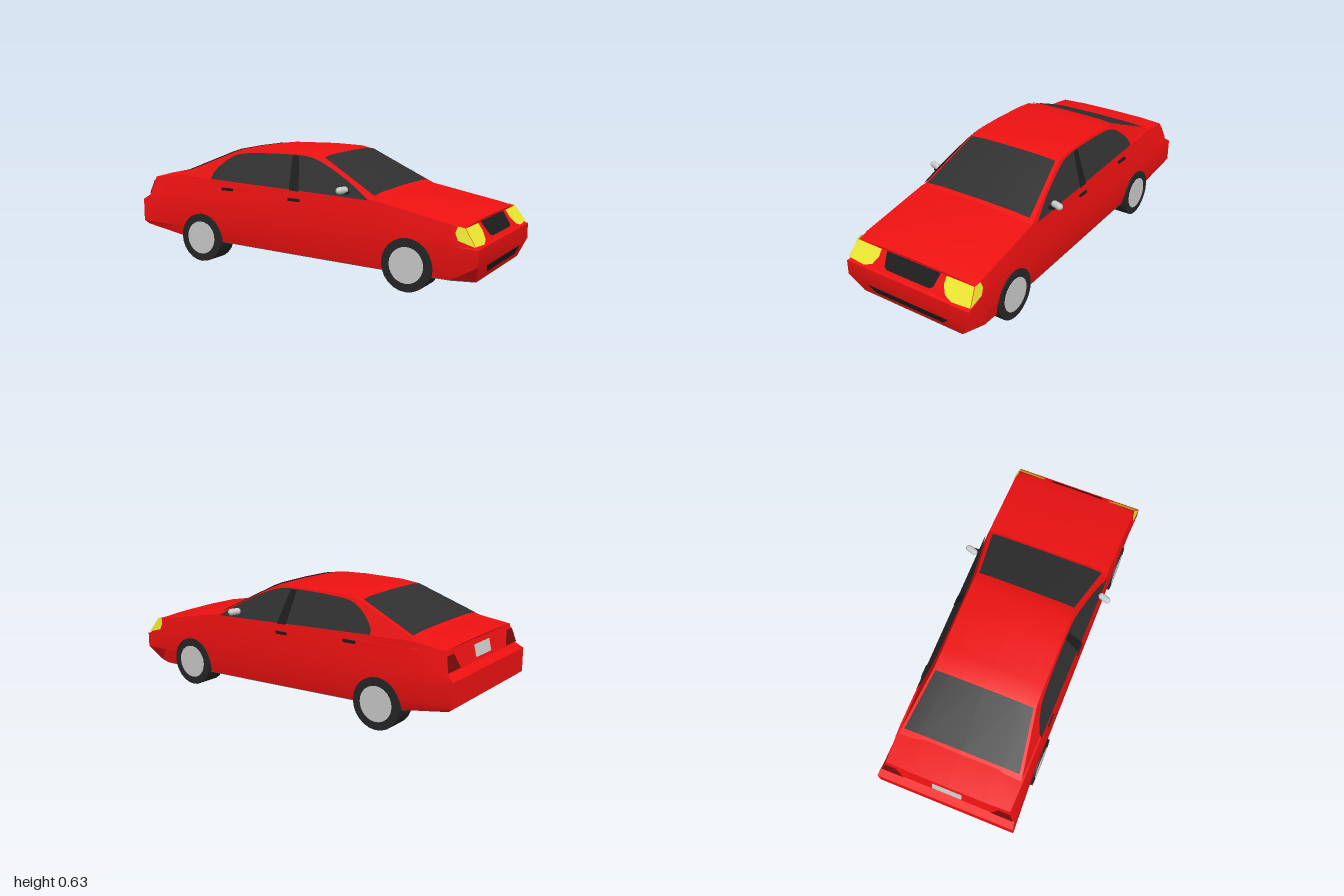
import * as THREE from 'three';
import { toCreasedNormals } from 'three/addons/utils/BufferGeometryUtils.js';

const paint = (color, side = THREE.FrontSide) => new THREE.MeshStandardMaterial({ color, side });
const RED = paint(0xee1111);
const GLASS = paint(0x303030, THREE.DoubleSide);
const BLACK = paint(0x1c1c1c, THREE.DoubleSide);
const FLOOR = paint(0x555555, THREE.DoubleSide);
const YELLOW = paint(0xeeea30, THREE.DoubleSide);
const TAIL = paint(0x7a0c0c, THREE.DoubleSide);
const TYRE = paint(0x262626);
const METAL = paint(0xcccccc, THREE.DoubleSide);

// Local frame: +x forward, +y up, +z the car's right side.
function geometry(points, index) {
  const g = new THREE.BufferGeometry();
  g.setAttribute('position', new THREE.Float32BufferAttribute(points.flat(), 3));
  g.setIndex(index);
  return toCreasedNormals(g, 0.5);
}

// Closed hull from lengthwise lines (bottom to centre), mirrored across z, with end caps
function hull(rows) {
  const n = rows[0].length, half = rows.length, ring = half * 2 - 1;
  const pts = [], idx = [];
  for (let i = 0; i < n; i++) {
    for (let j = 0; j < ring; j++) {
      const [x, y, z] = rows[Math.min(j, ring - 1 - j)][i];
      pts.push([x, y, j < half ? z : -z]);
    }
  }
  const quad = (a, b, c, d) => idx.push(a, b, c, a, c, d);
  for (let i = 0; i < n - 1; i++) {
    for (let j = 0; j < ring; j++) {
      const k = (j + 1) % ring;
      quad(i * ring + j, (i + 1) * ring + j, (i + 1) * ring + k, i * ring + k);
    }
  }
  const f = (n - 1) * ring;
  for (let j = 0; j < half - 1; j++) {
    const l = ring - 1 - j;
    quad(f + l, f + l - 1, f + j + 1, f + j);
    quad(j, j + 1, l - 1, l);
  }
  return geometry(pts, idx);
}

// Thin convex panel drawn as a fan
function panel(pts) {
  const idx = [];
  for (let i = 1; i < pts.length - 1; i++) idx.push(0, i, i + 1);
  return geometry(pts, idx);
}

const BODY = [
  [[-0.98, 0.17, 0.365], [-0.75, 0.128, 0.355], [0, 0.105, 0.355], [0.45, 0.092, 0.355], [0.86, 0.085, 0.355], [0.97, 0.08, 0.31]],
  [[-1.005, 0.19, 0.378], [-0.75, 0.18, 0.367], [0, 0.17, 0.367], [0.45, 0.165, 0.367], [0.86, 0.165, 0.37], [1, 0.165, 0.376]],
  [[-1.005, 0.315, 0.378], [-0.75, 0.29, 0.368], [0, 0.27, 0.368], [0.45, 0.26, 0.368], [0.86, 0.25, 0.37], [1, 0.245, 0.376]],
  [[-0.965, 0.34, 0.368], [-0.75, 0.36, 0.362], [0, 0.36, 0.362], [0.45, 0.35, 0.362], [0.86, 0.28, 0.368], [0.985, 0.25, 0.37]],
  [[-0.94, 0.442, 0.338], [-0.75, 0.465, 0.345], [0, 0.435, 0.352], [0.46, 0.425, 0.352], [0.86, 0.35, 0.36], [0.925, 0.335, 0.355]],
  [[-0.945, 0.448, 0.2], [-0.76, 0.478, 0.2], [0, 0.44, 0.2], [0.46, 0.437, 0.2], [0.86, 0.368, 0.2], [0.928, 0.345, 0.2]],
  [[-0.945, 0.45, 0], [-0.76, 0.48, 0], [0, 0.44, 0], [0.46, 0.44, 0], [0.86, 0.372, 0], [0.928, 0.348, 0]],
];

// Upper edge of the cabin: x, y, half width
const CABIN = [
  [-0.8, 0.455, 0.338], [-0.43, 0.605, 0.277], [-0.33, 0.617, 0.275], [-0.1, 0.622, 0.276],
  [0.06, 0.617, 0.277], [0.13, 0.6, 0.28], [0.465, 0.425, 0.344],
];
const CROWN = 0.012;
const crown = (f) => CROWN * (f > 0.7 ? (1 - f) * 2.5 : 1 - f * 0.357);
const cabinWidth = (y) => 0.35 - (y - 0.435) * 0.4;

// Front or rear screen laid on the cabin between two points of its edge
function screen(a, b, tA, tB) {
  const pts = [], idx = [], cols = [-0.95, -0.7, 0, 0.7, 0.95];
  for (const t of [tA, tB]) {
    const [x, y, w] = a.map((v, k) => v + (b[k] - v) * t);
    cols.forEach((f) => pts.push([x, y + crown(Math.abs(f)) + 0.006, f * w]));
  }
  for (let i = 0; i < 4; i++) idx.push(i, i + 1, i + 6, i, i + 6, i + 5);
  return geometry(pts, idx);
}

export function createModel() {
  const model = new THREE.Group();
  const car = new THREE.Group();
  car.name = 'car';
  car.rotation.y = -0.7435;
  model.add(car);
  const add = (name, geo, mat, x = 0, y = 0, z = 0) => {
    const mesh = new THREE.Mesh(geo, mat);
    mesh.name = name;
    mesh.position.set(x, y, z);
    car.add(mesh);
    return mesh;
  };

  // Shell and cabin
  add('body', hull(BODY), RED);
  add('cabin', hull([
    CABIN.map(([x]) => [x, 0.425, 0.352]),
    CABIN,
    CABIN.map(([x, y, w]) => [x, y + crown(0.7), w * 0.7]),
    CABIN.map(([x, y]) => [x, y + CROWN, 0]),
  ]), RED);
  add('windshield', screen(CABIN[5], CABIN[6], 0, 0.935), GLASS);
  add('rearWindow', screen(CABIN[0], CABIN[1], 0.12, 0.96), GLASS);

  // Floor pan
  const edge = BODY[0].slice(1).map(([x, y, z]) => [x, y - 0.003, z]);
  add('floor', panel([...edge, ...edge.map(([x, y, z]) => [x, y, -z]).reverse()]), FLOOR);

  // Front face
  const nose = (y, z) => [0.991 - 0.706 * (y - 0.25), y + 0.003, z];
  const chin = (y, z) => [0.975 + 0.353 * (y - 0.08), y, z];
  add('grille', panel([nose(0.335, -0.165), nose(0.335, 0.165), nose(0.275, 0.15), nose(0.265, 0.13),
    nose(0.265, -0.13), nose(0.275, -0.15)]), BLACK);
  add('airIntake', panel([chin(0.15, -0.25), chin(0.15, 0.25), chin(0.11, 0.21), chin(0.11, -0.21)]), BLACK);

  // Rear plate
  const tail = (y, z) => [-0.971 + 0.245 * (y - 0.34), y, z];
  add('rearPlate', panel([tail(0.36, -0.08), tail(0.36, 0.08), tail(0.42, 0.08), tail(0.42, -0.08)]), METAL);

  // Side window outline, shared by both sides
  const outline = new THREE.Shape();
  outline.moveTo(-0.54, 0.458);
  outline.splineThru([[-0.525, 0.5], [-0.455, 0.565], [-0.355, 0.602], [-0.1, 0.613], [0.06, 0.606],
    [0.19, 0.56], [0.33, 0.489], [0.43, 0.425]].map(([x, y]) => new THREE.Vector2(x, y)));
  outline.lineTo(-0.54, 0.458);

  for (const s of [1, -1]) {
    const side = s > 0 ? 'right' : 'left';

    // Side glass leaning with the cabin wall, with a door pillar over it
    const glass = new THREE.ShapeGeometry(outline, 10);
    const p = glass.attributes.position;
    for (let i = 0; i < p.count; i++) p.setZ(i, s * (cabinWidth(p.getY(i)) + 0.007));
    glass.computeVertexNormals();
    add(side + 'SideWindow', glass, GLASS);
    const post = (x, y) => [x, y, s * (cabinWidth(y) + 0.009)];
    add(side + 'DoorPillar', panel([post(-0.03, 0.437), post(0.03, 0.435), post(-0.01, 0.609), post(-0.05, 0.61)]), BLACK);

    // Door handles
    add(side + 'RearHandle', new THREE.BoxGeometry(0.07, 0.014, 0.02), BLACK, -0.424, 0.411, s * 0.352);
    add(side + 'FrontHandle', new THREE.BoxGeometry(0.07, 0.014, 0.02), BLACK, 0, 0.39, s * 0.354);

    // Headlight wrapping round the corner
    add(side + 'Headlight', panel([nose(0.334, 0.2), nose(0.335, 0.358), nose(0.256, 0.373), nose(0.25, 0.27),
      nose(0.265, 0.225), nose(0.3, 0.2)].map(([x, y, z]) => [x, y, s * z])), YELLOW);
    add(side + 'HeadlightSide', panel([[0.929, 0.339, 0.36], [0.895, 0.345, 0.364], [0.885, 0.315, 0.37],
      [0.9, 0.28, 0.374], [0.987, 0.256, 0.375]].map(([x, y, z]) => [x, y, s * z])), YELLOW);

    // Tail light
    add(side + 'TailLight', panel([tail(0.348, 0.24), tail(0.348, 0.364), tail(0.42, 0.343),
      tail(0.42, 0.28)].map(([x, y, z]) => [x, y, s * z])), TAIL);

    // Wing mirror and its stalk
    const mirror = add(side + 'Mirror', new THREE.CapsuleGeometry(0.018, 0.036, 4, 12), METAL, 0.298, 0.467, s * 0.387);
    mirror.rotation.set(s * Math.PI / 2, 0, s * 0.3);
    add(side + 'MirrorStalk', new THREE.BoxGeometry(0.02, 0.012, 0.05), BLACK, 0.31, 0.453, s * 0.355);

    // Wheels
    for (const [end, x] of [['Front', 0.642], ['Rear', -0.595]]) {
      const tyre = new THREE.CylinderGeometry(0.132, 0.132, 0.12, 24).rotateX(Math.PI / 2);
      add(side + end + 'Tyre', tyre, TYRE, x, 0.132, s * 0.316);
      const hub = new THREE.CylinderGeometry(0.09, 0.09, 0.124, 24).rotateX(Math.PI / 2);
      add(side + end + 'Hub', hub, METAL, x, 0.132, s * 0.317);
    }
  }
  return model;
}
